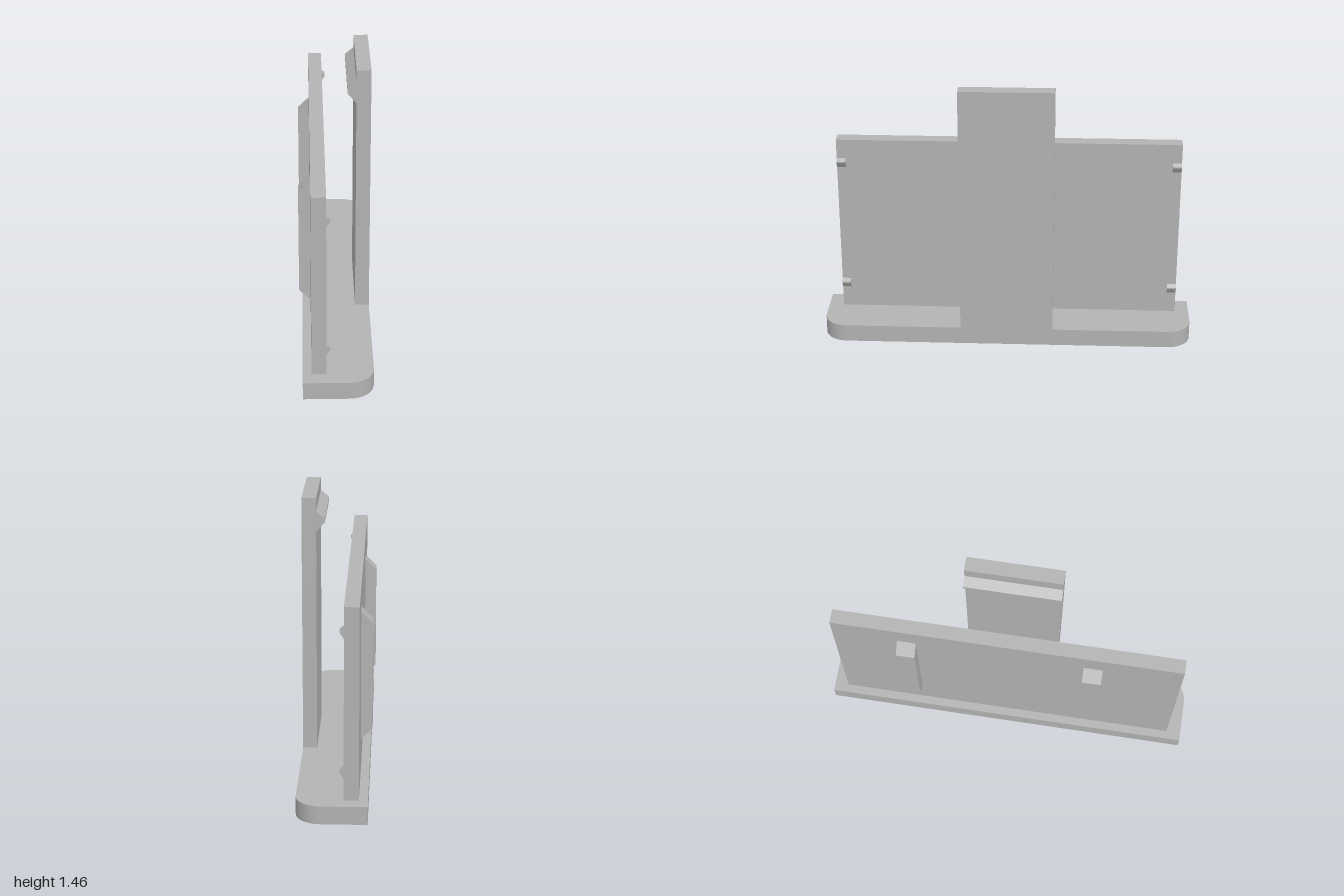
import * as THREE from 'three';
import { toCreasedNormals } from 'three/addons/utils/BufferGeometryUtils.js';

export function createModel() {
  const model = new THREE.Group();
  const grey = new THREE.MeshStandardMaterial({ color: 0xb3b3b3 });
  grey.name = 'plain grey';

  const add = (name, geometry) => {
    const mesh = new THREE.Mesh(geometry, grey);
    mesh.name = name;
    model.add(mesh);
  };
  // Box given by its limits
  const box = (name, x0, x1, y0, y1, z0, z1) =>
    add(name, new THREE.BoxGeometry(x1 - x0, y1 - y0, z1 - z0)
      .translate((x0 + x1) / 2, (y0 + y1) / 2, (z0 + z1) / 2));
  // Side profile in x and y, extruded from z0 to z1
  const prism = (name, points, z0, z1) => {
    const shape = new THREE.Shape(points.map(([x, y]) => new THREE.Vector2(x, y)));
    add(name, new THREE.ExtrudeGeometry(shape, { depth: z1 - z0, bevelEnabled: false })
      .translate(0, 0, z0));
  };

  // Base slab, rounded at the two outer corners
  const left = -0.175, right = 0.185, r = 0.125, height = 0.095;
  const outline = new THREE.Shape();
  outline.moveTo(left, -1);
  outline.lineTo(right - r, -1);
  outline.absarc(right - r, -1 + r, r, -Math.PI / 2, 0, false);
  outline.lineTo(right, 1 - r);
  outline.absarc(right - r, 1 - r, r, 0, Math.PI / 2, false);
  outline.lineTo(left, 1);
  outline.closePath();
  const slab = new THREE.ExtrudeGeometry(outline, { depth: height, bevelEnabled: false, curveSegments: 16 })
    .rotateX(Math.PI / 2).translate(0, height, 0);
  add('base', toCreasedNormals(slab, 0.5));

  // Wide upright panel
  box('panel', -0.13, -0.055, height, 1.09, -0.925, 0.92);

  // Tall latch tongue with its hook
  box('latchTongue', 0.11, right, height, 1.46, -0.25, 0.25);
  prism('latchHook', [[0.11, 1.39], [0.065, 1.353], [0.065, 1.335], [0.11, 1.282]], -0.25, 0.25);

  // Chamfered ribs on the outside of the panel
  for (const z of [-0.58, 0.405])
    prism('rib', [[-0.13, 0.96], [-0.19, 0.9], [-0.19, 0.34], [-0.13, 0.28]], z, z + 0.1);

  // Small snap catches at the panel corners
  for (const y of [0.21, 0.932])
    for (const z of [-0.925, 0.872])
      prism('snapCatch', [[-0.055, y + 0.053], [-0.035, y + 0.039], [-0.035, y + 0.031], [-0.055, y]], z, z + 0.048);

  return model;
}
